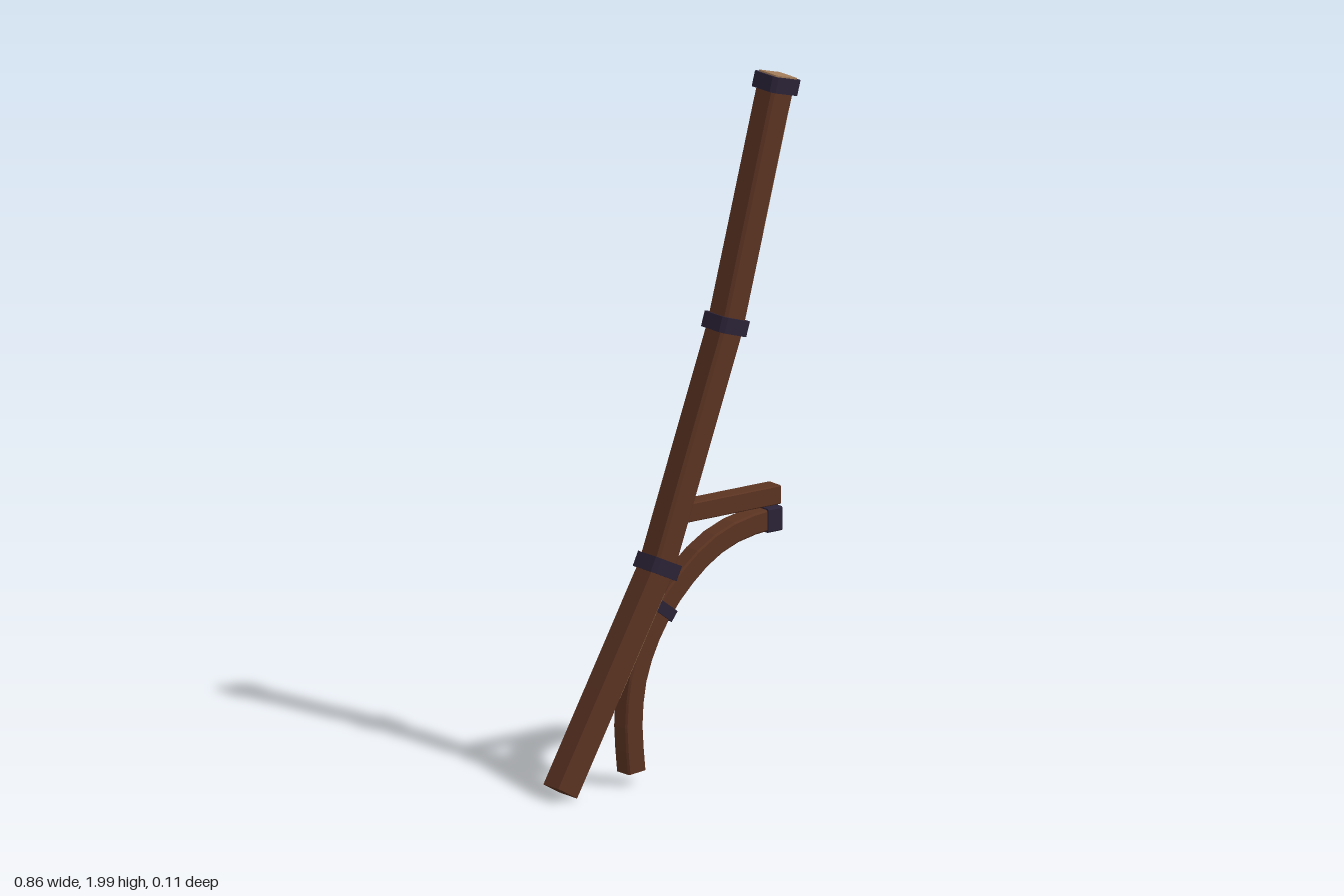
import * as THREE from 'three';

const mat = (name, color) => {
  const m = new THREE.MeshStandardMaterial({ color });
  m.name = name;
  return m;
};

// Sweeps a chamfered rectangle (width in the xy plane, depth along z) along an xy path.
// paint(segment, side) returns a material index; sides run
// 0 front, 1 front-right edge, 2 right, 3 back-right edge, 4 back, 5 back-left edge, 6 left, 7 front-left edge.
function sweep(path, width, depth, z, c, paint = () => 0, endPaint = 0) {
  const U = width / 2, V = depth / 2;
  const profile = [[V, -U + c], [V, U - c], [V - c, U], [-V + c, U],
    [-V, U - c], [-V, -U + c], [-V + c, -U], [V - c, -U]];
  const pts = path.map(p => new THREE.Vector2(...p));
  const dir = i => pts[i + 1].clone().sub(pts[i]).normalize();
  const last = pts.length - 1;
  const rings = pts.map((p, i) => {
    const a = dir(Math.max(i - 1, 0)), b = dir(Math.min(i, last - 1));
    const t = a.clone().add(b).normalize();
    const mitre = 1 / t.dot(b);
    return profile.map(([v, u]) => [p.x + t.y * u * mitre, p.y - t.x * u * mitre, z + v]);
  });
  const buckets = [[], []];
  const tri = (m, ...corners) => corners.forEach(q => buckets[m].push(...q));
  for (let i = 0; i < last; i++) {
    for (let k = 0; k < 8; k++) {
      const n = (k + 1) % 8, m = paint(i, k);
      const A = rings[i], B = rings[i + 1];
      tri(m, A[k], A[n], B[n]);
      tri(m, A[k], B[n], B[k]);
    }
  }
  for (let k = 1; k < 7; k++) {
    tri(0, rings[0][0], rings[0][k + 1], rings[0][k]);
    tri(endPaint, rings[last][0], rings[last][k], rings[last][k + 1]);
  }
  const g = new THREE.BufferGeometry();
  g.setAttribute('position', new THREE.Float32BufferAttribute(buckets.flat(), 3));
  const n0 = buckets[0].length / 3;
  g.addGroup(0, n0, 0);
  if (buckets[1].length) g.addGroup(n0, buckets[1].length / 3, 1);
  g.computeVertexNormals();
  return g;
}

// Two path points around a centre, along a direction
const span = (x, y, angle, length) => {
  const dx = Math.cos(angle) * length / 2, dy = Math.sin(angle) * length / 2;
  return [[x - dx, y - dy], [x + dx, y + dy]];
};

export function createModel() {
  const group = new THREE.Group();
  const wood = mat('dark wood', 0x5c3422);
  const bare = mat('bare wood', 0xa17c5a);
  const iron = mat('dark iron', 0x2b2338);
  const add = (name, geometry, materials) => {
    const mesh = new THREE.Mesh(geometry, materials);
    mesh.name = name;
    group.add(mesh);
  };

  // Bent main post, with bare strips along worn edges
  const post = [[-0.397, 0.028], [-0.245, 0.293], [-0.085, 0.573], [-0.055, 0.625],
    [0.085, 1.005], [0.172, 1.24], [0.19, 1.29], [0.262, 1.56], [0.352, 1.9], [0.374, 1.979]];
  const worn = { 1: 1, 4: 5, 7: 1 };
  add('post', sweep(post, 0.077, 0.084, -0.001, 0.008,
    (i, k) => (worn[i] === k ? 1 : 0), 1), [wood, bare]);

  // Iron bands at the bends and the top
  const bands = [
    ['lowerBand', -0.052, 0.627, 1.13],
    ['middleBand', 0.19, 1.292, 1.27],
    ['topBand', 0.37, 1.963, 1.31],
  ];
  for (const [name, x, y, angle] of bands) {
    add(name, sweep(span(x, y, angle, 0.045), 0.102, 0.106, -0.001, 0.012), [iron]);
  }

  // Bare cut end of the post
  add('postEnd', sweep(span(0.3763, 1.9865, 1.31, 0.005), 0.078, 0.085, -0.001, 0.004,
    () => 1, 1), [bare, bare]);

  // Curved brace
  const curve = new THREE.SplineCurve([[-0.14, 0.045], [-0.15, 0.2], [-0.124, 0.35],
    [-0.04, 0.503], [0.095, 0.63], [0.22, 0.687], [0.345, 0.703]]
    .map(p => new THREE.Vector2(...p)));
  add('brace', sweep(curve.getSpacedPoints(14).map(p => [p.x, p.y]), 0.062, 0.06, -0.007, 0.005), [wood]);
  add('braceBand', sweep(span(-0.04, 0.5, 0.93, 0.034), 0.075, 0.072, -0.006, 0.006), [iron]);
  add('braceCap', sweep(span(0.346, 0.701, 0, 0.05), 0.07, 0.068, -0.007, 0.004), [iron]);

  // Horizontal arm with a bare cut end
  add('arm', sweep([[0.02, 0.768], [0.372, 0.768]], 0.055, 0.056, -0.01, 0.003,
    () => 0, 1), [wood, bare]);

  return group;
}
